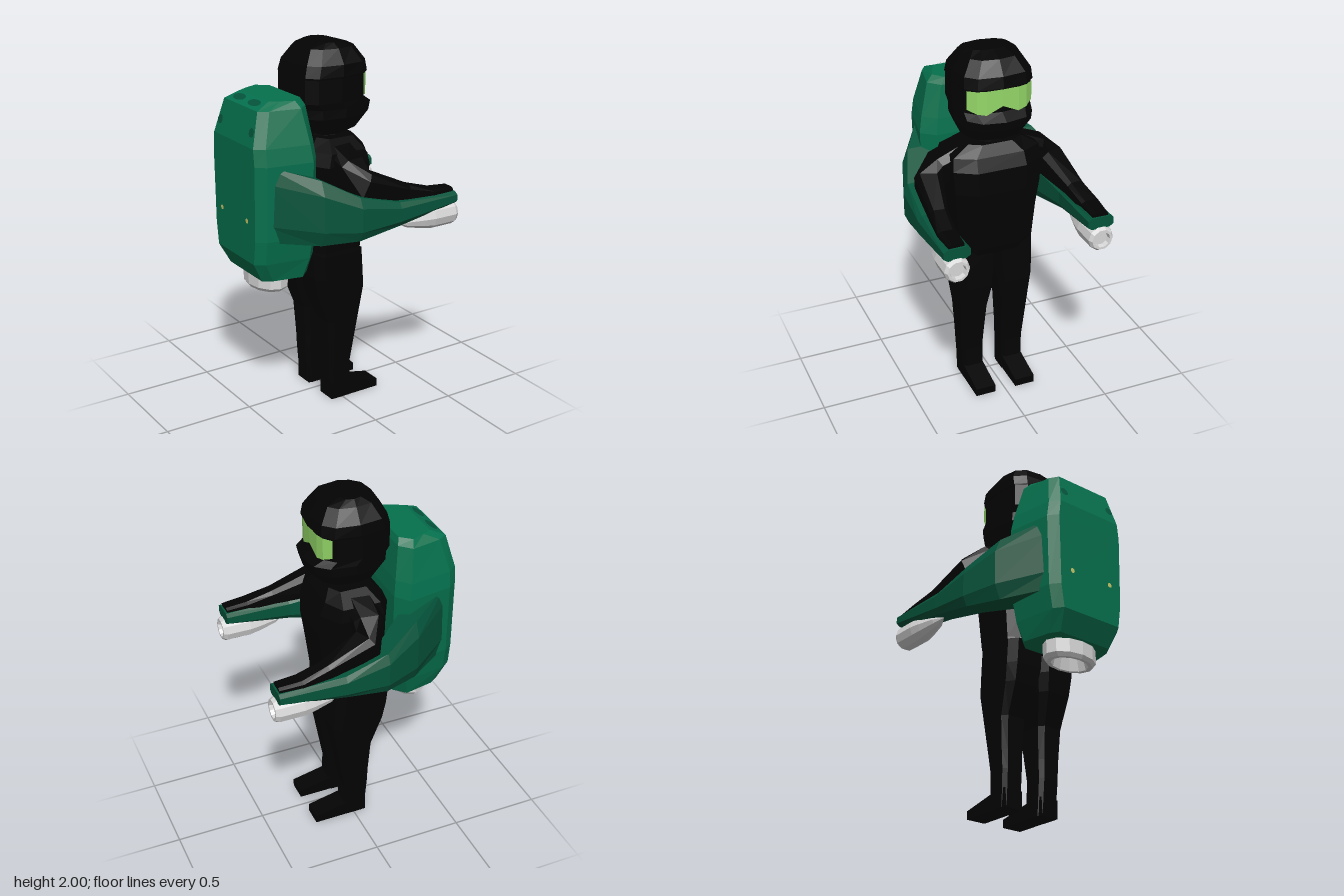
import * as THREE from 'three';

const mat = (name, color, extra = {}) => {
  const m = new THREE.MeshStandardMaterial({ color, flatShading: true, ...extra });
  m.name = name;
  return m;
};

// Skin a list of rings (arrays of Vector3) and cap both ends; faces always point outward.
function loft(rings) {
  const tris = [];
  const n = rings[0].length;
  for (let r = 0; r < rings.length - 1; r++) {
    for (let i = 0; i < n; i++) {
      const j = (i + 1) % n, a = rings[r], b = rings[r + 1];
      tris.push([a[i], b[i], a[j]], [a[j], b[i], b[j]]);
    }
  }
  const cap = (ring, flip) => {
    const c = ring.reduce((s, p) => s.add(p), new THREE.Vector3()).divideScalar(n);
    ring.forEach((p, i) => {
      const q = ring[(i + 1) % n];
      tris.push(flip ? [c, q, p] : [c, p, q]);
    });
  };
  cap(rings[0], false);
  cap(rings[rings.length - 1], true);
  let volume = 0;
  for (const [a, b, c] of tris) volume += a.dot(b.clone().cross(c));
  const pts = tris.flatMap(([a, b, c]) => (volume < 0 ? [a, c, b] : [a, b, c]));
  const g = new THREE.BufferGeometry().setFromPoints(pts);
  g.computeVertexNormals();
  return g;
}

// Chamfered rectangle as [u, v] pairs; cu and cv are corner cuts as fractions of the half sizes.
function octagon(u0, u1, v0, v1, cu = 0.4, cv = 0.4) {
  const cx = (u0 + u1) / 2, cy = (v0 + v1) / 2, a = (u1 - u0) / 2, b = (v1 - v0) / 2;
  const p = 1 - cu, q = 1 - cv;
  return [[1, -q], [1, q], [p, 1], [-p, 1], [-1, q], [-1, -q], [-p, -1], [p, -1]]
    .map(([u, v]) => [cx + a * u, cy + b * v]);
}
const level = (y, x0, x1, z0, z1, cu, cv) =>
  octagon(x0, x1, z0, z1, cu, cv).map(([x, z]) => new THREE.Vector3(x, y, z));

// Backpack outline: narrow at the back, widest near the front.
const packRing = ([y, x0, x1, h]) => {
  const half = [[x1, 0.75], [x1 - 0.06, 1], [x0 + 0.05, 0.86], [x0, 0.72]];
  return [...half, ...half.map(([x, f]) => [x, -f]).reverse()]
    .map(([x, f]) => new THREE.Vector3(x, y, h * f));
};

// Point on a squarish helmet outline at angle t.
const bend = (v, p) => Math.sign(v) * Math.abs(v) ** p;
const headPoint = (t, y, x0, x1, hz, p) => new THREE.Vector3(
  (x0 + x1) / 2 + (x1 - x0) / 2 * bend(Math.cos(t), p), y, hz * bend(Math.sin(t), p));

export function createModel() {
  const group = new THREE.Group();
  const black = mat('suit black', 0x030303);
  const green = mat('pack green', 0x05704d);
  const darkGreen = mat('armrest dark green', 0x05543b);
  const white = mat('thruster white', 0xd8d8d8, { side: THREE.DoubleSide });
  const lime = mat('visor lime', 0x94d868, { side: THREE.DoubleSide });
  const yellow = mat('stud yellow', 0xc6c868);
  const add = (name, geometry, material) => {
    const m = new THREE.Mesh(geometry, material);
    m.name = name;
    group.add(m);
    return m;
  };

  // Helmet: y, back, front, half width, squareness
  add('helmet', loft([
    [1.51, -0.09, 0.07, 0.1, 0.8], [1.55, -0.17, 0.16, 0.165, 0.8],
    [1.62, -0.215, 0.215, 0.2, 0.75], [1.67, -0.22, 0.228, 0.2, 0.75],
    [1.705, -0.225, 0.17, 0.2, 0.6], [1.83, -0.225, 0.17, 0.2, 0.6],
    [1.84, -0.225, 0.188, 0.205, 0.6], [1.9, -0.21, 0.18, 0.2, 0.65],
    [1.975, -0.16, 0.13, 0.15, 0.75], [2, -0.09, 0.05, 0.11, 0.8],
  ].map(([y, ...r]) => Array.from({ length: 12 }, (_, i) => headPoint(i * Math.PI / 6, y, ...r)))), black);

  // Visor: a wrapped strip with a notch over the nose
  const strip = [[-52, 1.73], [-30, 1.71], [-14, 1.7], [0, 1.74], [14, 1.7], [30, 1.71], [52, 1.73]]
    .map(([deg, low]) => [1.832, low].map(y =>
      headPoint(deg * Math.PI / 180, y, -0.225, 0.178, 0.206, 0.6)));
  const visorPts = [];
  for (let i = 0; i < strip.length - 1; i++) {
    const [a, b] = strip[i], [c, d] = strip[i + 1];
    visorPts.push(a, c, b, c, d, b);
  }
  const visor = new THREE.BufferGeometry().setFromPoints(visorPts);
  visor.computeVertexNormals();
  add('visor', visor, lime);

  // Neck and torso
  add('neck', new THREE.CylinderGeometry(0.09, 0.1, 0.1, 10), black).position.set(0, 1.5, 0);
  add('torso', loft([
    [0.84, -0.2, 0.11, 0.22], [0.9, -0.195, 0.14, 0.215], [1.1, -0.195, 0.165, 0.225],
    [1.25, -0.195, 0.185, 0.24], [1.38, -0.2, 0.18, 0.25], [1.45, -0.17, 0.15, 0.24],
    [1.505, -0.11, 0.11, 0.15],
  ].map(([y, x0, x1, h]) => level(y, x0, x1, -h, h, 0.35, 0.45))), black);

  // Backpack shell
  add('backpack', loft([
    [0.81, -0.5, -0.23, 0.23], [0.92, -0.557, -0.205, 0.26], [1.05, -0.557, -0.2, 0.285],
    [1.45, -0.557, -0.2, 0.295], [1.54, -0.557, -0.21, 0.28], [1.72, -0.51, -0.235, 0.235],
    [1.755, -0.43, -0.25, 0.2],
  ].map(packRing)), green);

  // Bottom nozzle, hollow
  const nozzle = new THREE.LatheGeometry([
    [0.06, 0.79], [0.075, 0.715], [0.092, 0.715], [0.105, 0.735], [0.105, 0.82],
  ].map(p => new THREE.Vector2(...p)), 12);
  const nozzleMesh = add('bottomNozzle', nozzle, white);
  nozzleMesh.position.x = -0.38;
  nozzleMesh.scale.z = 1.5;
  const nozzleCore = add('nozzleCore', new THREE.CircleGeometry(0.075, 12).rotateX(Math.PI / 2), white);
  nozzleCore.position.set(-0.38, 0.79, 0);
  nozzleCore.scale.z = 1.5;

  for (const s of [1, -1]) {
    const side = s > 0 ? 'left' : 'right';
    const flip = rings => loft(rings.map(r => r.map(v => new THREE.Vector3(v.x, v.y, v.z * s))));

    // Leg
    add(side + 'Leg', flip([
      [0, -0.07, 0.06, 0.058, 0.178], [0.2, -0.085, 0.053, 0.058, 0.185],
      [0.3, -0.088, 0.07, 0.055, 0.19], [0.48, -0.1, 0.1, 0.047, 0.2],
      [0.65, -0.165, 0.13, 0.012, 0.213], [0.75, -0.185, 0.122, -0.006, 0.22],
      [0.88, -0.198, 0.112, -0.006, 0.222],
    ].map(([y, ...r]) => level(y, ...r, 0.3, 0.3))), black);

    // Foot: wedge extruded sideways
    const wedge = new THREE.Shape([[-0.07, 0], [0.235, 0], [0.235, 0.045], [0.05, 0.085], [-0.07, 0.1]]
      .map(p => new THREE.Vector2(...p)));
    const foot = add(side + 'Foot', new THREE.ExtrudeGeometry(wedge, { depth: 0.115, bevelEnabled: false }), black);
    foot.position.z = s > 0 ? 0.062 : -0.177;

    // Arm: sections swept along a bent path (x, y, z, half width, half height)
    const path = [
      [-0.02, 1.385, 0.16, 0.085, 0.1], [-0.025, 1.355, 0.275, 0.08, 0.085],
      [0.01, 1.29, 0.348, 0.075, 0.08], [0.25, 1.225, 0.385, 0.048, 0.045],
      [0.4, 1.2, 0.4, 0.05, 0.028], [0.525, 1.195, 0.397, 0.043, 0.022],
    ];
    const at = path.map(p => new THREE.Vector3(p[0], p[1], p[2]));
    add(side + 'Arm', flip(path.map(([, , , w, h], i) => {
      const t = at[Math.min(i + 1, at.length - 1)].clone().sub(at[Math.max(i - 1, 0)]).normalize();
      const across = new THREE.Vector3().crossVectors(t, new THREE.Vector3(0, 1, 0)).normalize();
      const up = new THREE.Vector3().crossVectors(across, t);
      return octagon(-w, w, -h, h).map(([u, v]) =>
        at[i].clone().addScaledVector(across, u).addScaledVector(up, v));
    })), black);

    // Armrest growing out of the backpack (x, inner z, outer z, bottom, top)
    add(side + 'Armrest', flip([
      [-0.5, 0.12, 0.235, 1.04, 1.45], [-0.26, 0.18, 0.4, 1.02, 1.37],
      [-0.07, 0.3, 0.462, 1.03, 1.265], [0.17, 0.335, 0.47, 1.07, 1.2],
      [0.535, 0.325, 0.47, 1.13, 1.195],
    ].map(([x, z0, z1, y0, y1]) =>
      octagon(z0, z1, y0, y1, 0.3, 0.45).map(([z, y]) => new THREE.Vector3(x, y, z)))), darkGreen);

    // Hand thruster, hollow at the front
    const barrel = new THREE.LatheGeometry([
      [0, 0.18], [0.035, 0.24], [0.06, 0.34], [0.07, 0.4], [0.07, 0.535],
      [0.058, 0.555], [0.045, 0.555], [0.04, 0.53], [0, 0.53],
    ].map(p => new THREE.Vector2(...p)), 10);
    const thruster = add(side + 'Thruster', barrel.rotateZ(-Math.PI / 2), white);
    thruster.position.set(0, 1.07, s * 0.4);

    // Oval vents on the sloped top and upper back of the pack
    const vent = add(side + 'Vent', new THREE.CircleGeometry(1, 14).rotateX(-Math.PI / 2)
      .scale(0.026, 1, 0.053), darkGreen);
    vent.position.set(-0.472, 1.741, s * 0.075);
    vent.rotation.z = 0.41;
    const backVent = add(side + 'BackVent', new THREE.CircleGeometry(0.024, 12).rotateY(-Math.PI / 2), darkGreen);
    backVent.position.set(-0.541, 1.615, s * 0.16);
    backVent.rotation.z = -0.255;

    // Stud on the pack's back
    const stud = add(side + 'Stud', new THREE.CircleGeometry(0.014, 8).rotateY(-Math.PI / 2), yellow);
    stud.position.set(-0.561, 1.145, s * 0.13);
  }
  return group;
}
